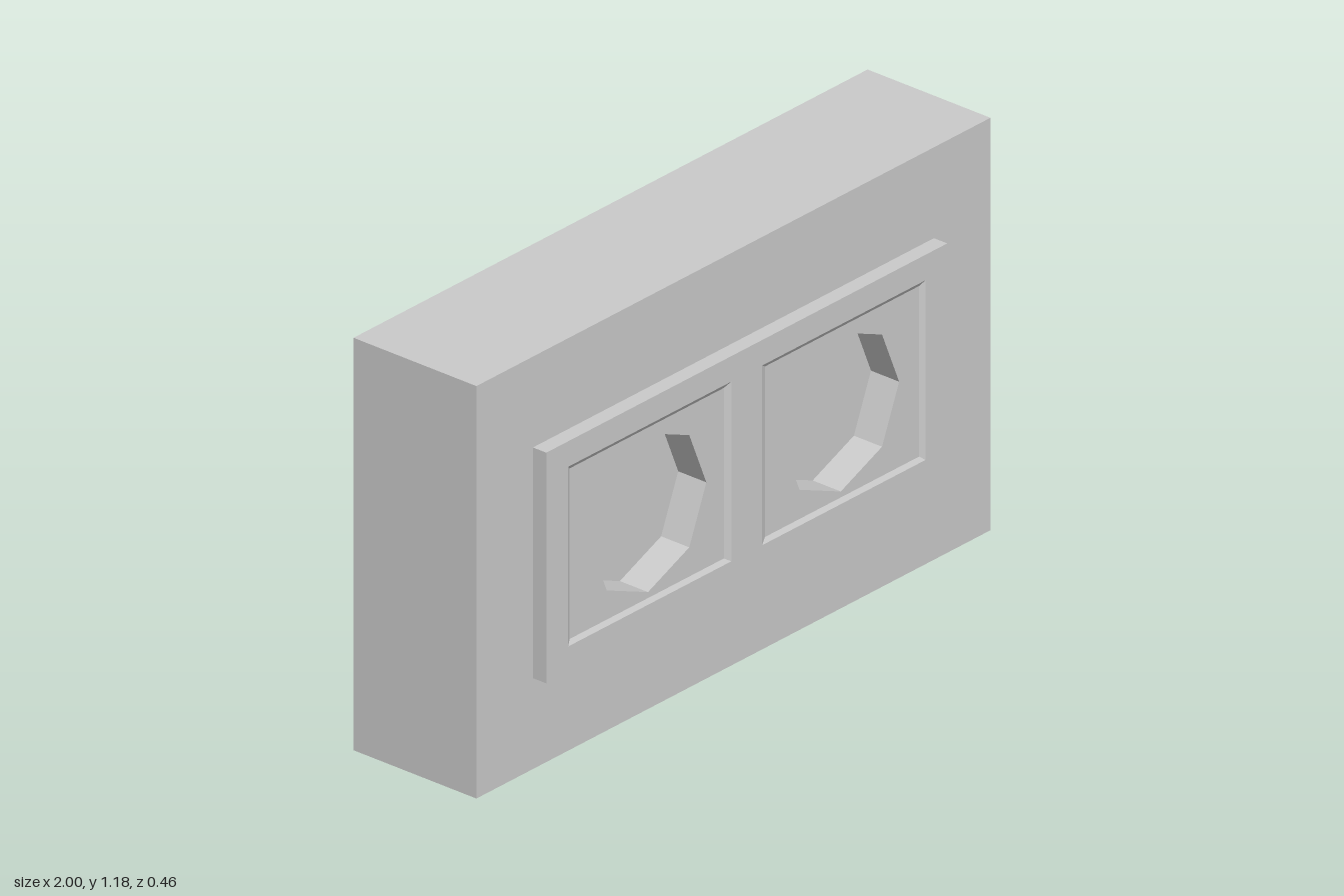
import * as THREE from 'three';

const MID_Y = 0.59;
const Z = { back: -0.23, wall: 0.185, plate: 0.23, panel: 0.222, well: 0.127 };

// Counter-clockwise outlines as lists of Vector2
const rect = (x0, x1, y0, y1) =>
  [[x0, y0], [x1, y0], [x1, y1], [x0, y1]].map(([x, y]) => new THREE.Vector2(x, y));
const octagon = (cx, r) => Array.from({ length: 8 }, (_, i) => {
  const a = (i * Math.PI) / 4;
  return new THREE.Vector2(cx + r * Math.cos(a), MID_Y + r * Math.sin(a));
});

export function createModel() {
  const group = new THREE.Group();
  const material = new THREE.MeshStandardMaterial({
    color: 0xcccccc, flatShading: true, side: THREE.DoubleSide,
  });

  const add = (name, geometry) => {
    const mesh = new THREE.Mesh(geometry, material);
    mesh.name = name;
    group.add(mesh);
  };

  // Flat sheet facing +z, with optional openings
  const sheet = (name, outline, z, holes = []) => {
    const shape = new THREE.Shape(outline);
    holes.forEach((h) => shape.holes.push(new THREE.Path(h)));
    add(name, new THREE.ShapeGeometry(shape).translate(0, 0, z));
  };

  // Band of quads joining two outlines at different depths
  const band = (name, a, za, b, zb) => {
    const pos = [];
    a.forEach((p, i) => {
      const j = (i + 1) % a.length;
      const [p0, p1] = [[p.x, p.y, za], [a[j].x, a[j].y, za]];
      const [q0, q1] = [[b[i].x, b[i].y, zb], [b[j].x, b[j].y, zb]];
      pos.push(...p0, ...p1, ...q1, ...p0, ...q1, ...q0);
    });
    const geometry = new THREE.BufferGeometry();
    geometry.setAttribute('position', new THREE.Float32BufferAttribute(pos, 3));
    geometry.computeVertexNormals();
    add(name, geometry);
  };

  // Open-backed housing
  const body = rect(-1, 1, 0, 1.18);
  const plate = rect(-0.78, 0.78, 0.26, 0.92);
  band('housingWalls', body, Z.back, body, Z.wall);
  sheet('housingFront', body, Z.wall, [plate]);

  // Raised plate with two square openings
  const openings = [rect(-0.695, -0.06, 0.333, 0.847), rect(0.06, 0.695, 0.333, 0.847)];
  band('plateRim', plate, Z.wall, plate, Z.plate);
  sheet('plateFace', plate, Z.plate, openings);

  // Shallow bevelled panels, each with an octagonal well
  [-1, 1].forEach((side, i) => {
    const label = side < 0 ? 'right' : 'left';
    const panel = side < 0
      ? rect(-0.68, -0.08, 0.346, 0.834)
      : rect(0.08, 0.68, 0.346, 0.834);
    const well = octagon(side * 0.375, 0.227);
    band(label + 'PanelBevel', openings[i], Z.plate, panel, Z.panel);
    sheet(label + 'Panel', panel, Z.panel, [well]);
    band(label + 'WellWall', well, Z.panel, well, Z.well);
    sheet(label + 'WellFloor', well, Z.well);
  });

  return group;
}
